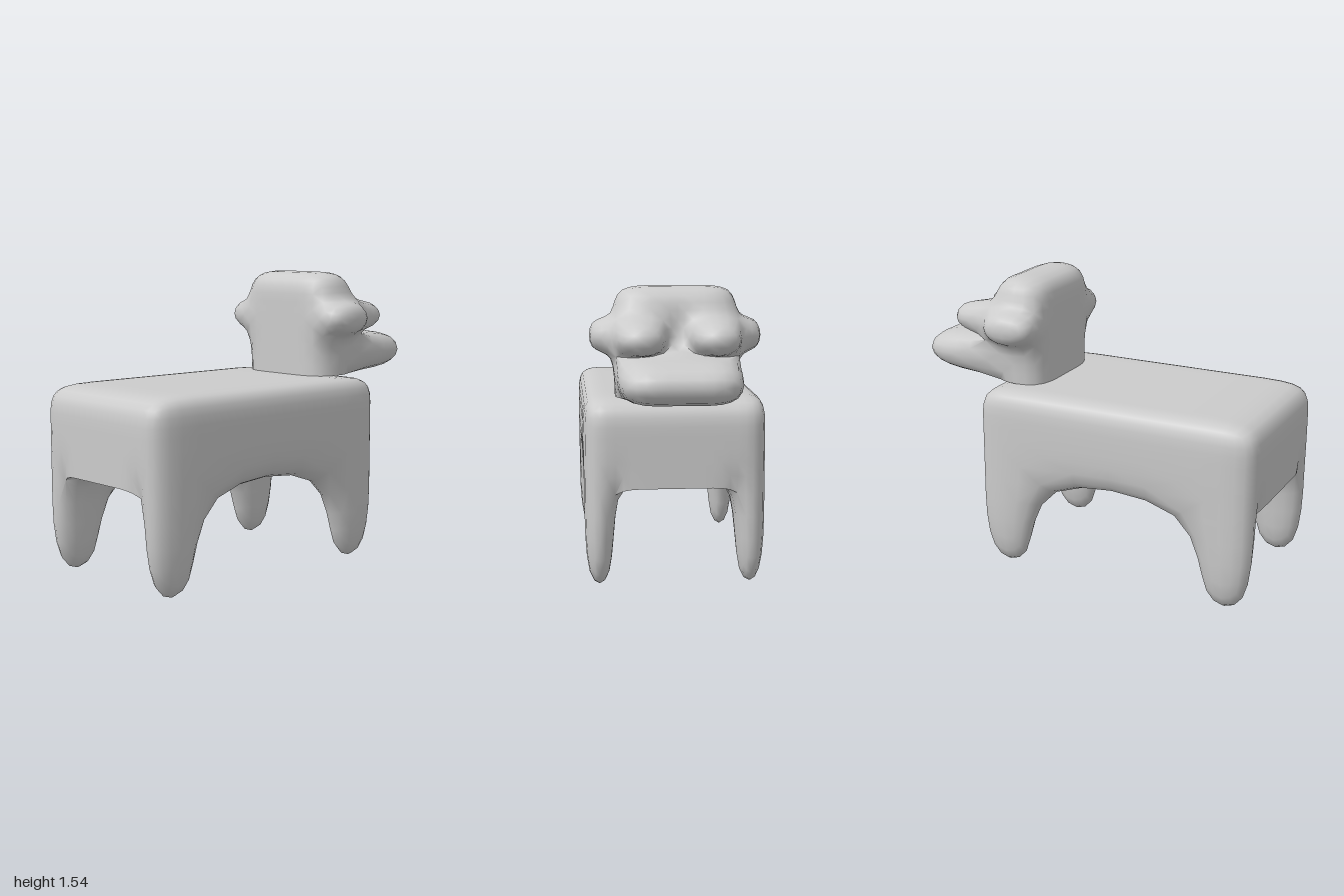
import * as THREE from 'three';
import { toCreasedNormals } from 'three/addons/utils/BufferGeometryUtils.js';

const V = (x, y, z) => new THREE.Vector3(x, y, z);
const key = (a, b) => (a < b ? a + '_' + b : b + '_' + a);
const average = (points) =>
  points.reduce((s, p) => s.add(p), V(0, 0, 0)).divideScalar(points.length);

// Quad cage of a box cut at the given x, y and z positions
function boxCage(cuts, openBottom) {
  const cage = { verts: [], faces: [], sharp: new Set() };
  const ids = new Map();
  const vert = (ijk) => {
    const k = ijk.join();
    if (!ids.has(k)) {
      ids.set(k, cage.verts.length);
      cage.verts.push(V(...ijk.map((n, d) => cuts[d][n])));
    }
    return ids.get(k);
  };
  for (let d = 0; d < 3; d++) {
    const u = (d + 1) % 3, w = (d + 2) % 3;
    for (const high of [false, true]) {
      if (openBottom && d === 1 && !high) continue;
      for (let i = 0; i < cuts[u].length - 1; i++) {
        for (let j = 0; j < cuts[w].length - 1; j++) {
          const quad = [[0, 0], [1, 0], [1, 1], [0, 1]].map(([a, b]) => {
            const ijk = [0, 0, 0];
            ijk[d] = high ? cuts[d].length - 1 : 0;
            ijk[u] = i + a;
            ijk[w] = j + b;
            return vert(ijk);
          });
          cage.faces.push(high ? quad : quad.reverse());
        }
      }
    }
  }
  return cage;
}

// Pull out, as one region, the faces whose centre passes the test
function extrude(cage, test, offset) {
  const picked = cage.faces.filter((f) => test(average(f.map((i) => cage.verts[i]))));
  const directed = new Set(), moved = new Map(), sides = [];
  for (const f of picked) {
    f.forEach((a, i) => {
      directed.add(a + '>' + f[(i + 1) % 4]);
      if (!moved.has(a)) {
        moved.set(a, cage.verts.length);
        cage.verts.push(cage.verts[a].clone().add(offset));
      }
    });
  }
  for (const f of picked) {
    f.forEach((a, i) => {
      const b = f[(i + 1) % 4];
      if (!directed.has(b + '>' + a)) sides.push([a, b, moved.get(b), moved.get(a)]);
    });
  }
  for (const f of picked) f.forEach((a, i) => { f[i] = moved.get(a); });
  cage.faces.push(...sides);
}

// One Catmull-Clark step; sharp and open edges keep their line
function subdivide({ verts, faces, sharp }) {
  const edges = new Map();
  const rings = verts.map(() => ({ faces: [], mids: [], sharp: [] }));
  const centres = faces.map((f) => average(f.map((i) => verts[i])));
  faces.forEach((f, n) => f.forEach((a, i) => {
    const b = f[(i + 1) % 4], k = key(a, b);
    if (!edges.has(k)) edges.set(k, { a, b, faces: [] });
    edges.get(k).faces.push(n);
    rings[a].faces.push(centres[n]);
  }));
  const edgePoints = [], nextSharp = new Set();
  const edgeStart = verts.length, faceStart = edgeStart + edges.size;
  for (const [k, e] of edges) {
    const ends = [verts[e.a], verts[e.b]], mid = average(ends);
    const isSharp = sharp.has(k) || e.faces.length < 2;
    e.id = edgeStart + edgePoints.length;
    rings[e.a].mids.push(mid);
    rings[e.b].mids.push(mid);
    if (isSharp) {
      rings[e.a].sharp.push(verts[e.b]);
      rings[e.b].sharp.push(verts[e.a]);
      nextSharp.add(key(e.a, e.id)).add(key(e.b, e.id));
    }
    edgePoints.push(isSharp ? mid : average([...ends, ...e.faces.map((n) => centres[n])]));
  }
  const moved = verts.map((p, i) => {
    const r = rings[i], n = r.faces.length;
    if (r.sharp.length > 2) return p.clone();
    if (r.sharp.length === 2) {
      return p.clone().multiplyScalar(6).add(r.sharp[0]).add(r.sharp[1]).divideScalar(8);
    }
    return average(r.faces).addScaledVector(average(r.mids), 2)
      .addScaledVector(p, n - 3).divideScalar(n);
  });
  const quads = [];
  faces.forEach((f, n) => f.forEach((a, i) => {
    const after = edges.get(key(a, f[(i + 1) % 4])).id;
    const before = edges.get(key(a, f[(i + 3) % 4])).id;
    quads.push([a, after, faceStart + n, before]);
  }));
  return { verts: [...moved, ...edgePoints, ...centres], faces: quads, sharp: nextSharp };
}

function smoothMesh(name, cage, material) {
  const { verts, faces } = subdivide(subdivide(cage));
  const geometry = new THREE.BufferGeometry().setFromPoints(verts);
  geometry.setIndex(faces.flatMap(([a, b, c, d]) => [a, b, c, a, c, d]));
  const mesh = new THREE.Mesh(toCreasedNormals(geometry, 1.1), material);
  mesh.name = name;
  return mesh;
}

export function createModel() {
  const group = new THREE.Group();
  group.name = 'animal';
  const material = new THREE.MeshStandardMaterial({ color: 0xcccccc, side: THREE.DoubleSide });

  // Body block with a leg pulled down from each corner
  const belly = 0.525;
  const body = boxCage([
    [-1, -0.7, 0.25, 0.555],
    [belly, 0.8, 0.98],
    [-0.468, -0.31, -0.15, 0.15, 0.31, 0.468],
  ]);
  for (const front of [false, true]) {
    for (const side of [-1, 1]) {
      extrude(body, (c) => c.y < belly + 0.01 && c.z * side > 0.32
        && (front ? c.x > 0.3 : c.x < -0.75), V(0, -0.035 - belly, 0));
    }
  }
  // Crisp belly edge between the legs at both ends
  for (const f of body.faces) {
    f.forEach((a, i) => {
      const b = f[(i + 1) % 4];
      const onEdge = (p) => Math.abs(p.y - belly) < 0.001 && Math.abs(p.z) < 0.32
        && (p.x < -0.99 || p.x > 0.54);
      const p = body.verts[a], q = body.verts[b];
      if (onEdge(p) && onEdge(q) && Math.abs(p.x - q.x) < 0.001) body.sharp.add(key(a, b));
    });
  }
  group.add(smoothMesh('bodyWithLegs', body, material));

  // Head block, open where it stands on the body
  const head = boxCage([
    [0.25, 0.555],
    [0.98, 1.2, 1.38, 1.543],
    [-0.312, -0.06, 0.06, 0.312],
  ], true);
  const middle = (c) => c.y > 1.21 && c.y < 1.37;
  // Snout, then an eye and an ear on each side
  extrude(head, (c) => c.x > 0.55 && c.y < 1.19, V(0.46, 0, 0));
  for (const side of [-1, 1]) {
    extrude(head, (c) => middle(c) && c.x > 0.55 && c.x < 0.56 && c.z * side > 0.1, V(0.27, 0, 0));
    extrude(head, (c) => middle(c) && c.x < 0.5 && c.z * side > 0.31, V(0, 0, side * 0.128));
  }
  group.add(smoothMesh('head', head, material));
  return group;
}
